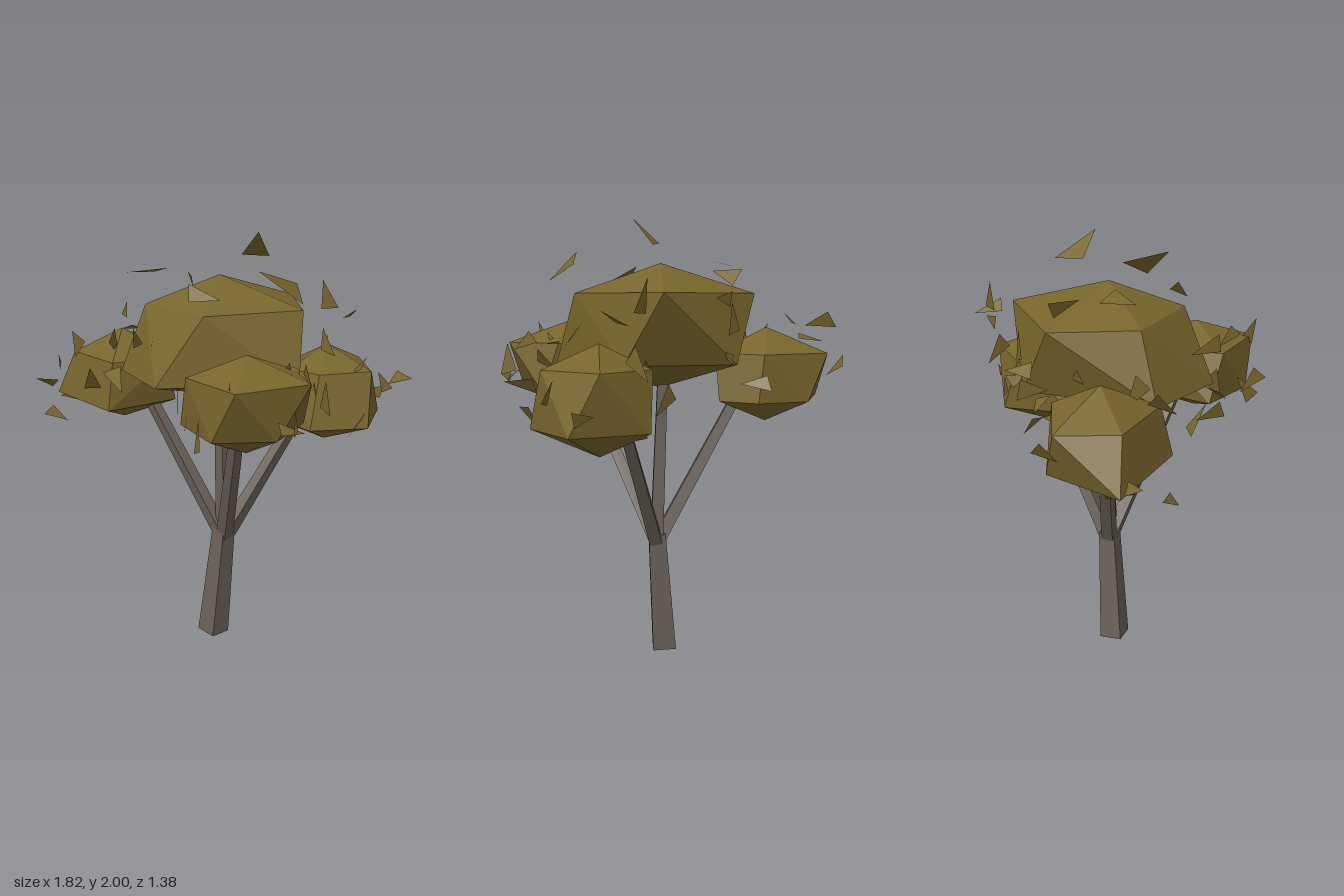
import * as THREE from 'three';
import { ConvexGeometry } from 'three/addons/geometries/ConvexGeometry.js';

const bark = new THREE.MeshStandardMaterial({ color: 0x6a6058 });
bark.name = 'bark';
const foliage = new THREE.MeshStandardMaterial({ color: 0x78652c, side: THREE.DoubleSide });
foliage.name = 'foliage';

const at = (x, y, z) => new THREE.Vector3(x, y, z);

// Four-sided tapering limb between two points
function limb(name, from, to, r0, r1) {
  const dir = to.clone().sub(from);
  const length = dir.length();
  const geo = new THREE.CylinderGeometry(r1, r0, length, 4).translate(0, length / 2, 0).toNonIndexed();
  geo.computeVertexNormals();
  const mesh = new THREE.Mesh(geo, bark);
  mesh.quaternion.setFromUnitVectors(at(0, 1, 0), dir.normalize());
  mesh.position.copy(from);
  mesh.name = name;
  return mesh;
}

// Uneven ring round a centre: angles in degrees with a radius for each
function ring({ x, z }, y, { angles, radii }) {
  return radii.map((r, i) => {
    const angle = THREE.MathUtils.degToRad(angles[i]);
    return at(x + r * Math.cos(angle), y, z + r * Math.sin(angle));
  });
}

// Faceted lump: top, upper ring, lower ring, bottom
function leafClump(name, { centre, heights, upper, lower }) {
  const [top, upperY, lowerY, bottom] = heights;
  const mesh = new THREE.Mesh(new ConvexGeometry([
    at(centre.x, top, centre.z),
    ...ring(centre, upperY, upper),
    ...ring(centre, lowerY, lower),
    at(centre.x, bottom, centre.z),
  ]), foliage);
  mesh.name = name;
  return mesh;
}

// Loose triangular leaves joined in one mesh
function leaves(name, corners) {
  const geo = new THREE.BufferGeometry().setFromPoints(corners);
  geo.computeVertexNormals();
  const mesh = new THREE.Mesh(geo, foliage);
  mesh.name = name;
  return mesh;
}

// One narrow triangle at a spot, turned at random
function leafAt(spot, random) {
  const turn = new THREE.Euler(random() * 6.3, random() * 6.3, random() * 6.3);
  const size = 0.065 + 0.035 * random();
  return [at(-0.45, -0.6, 0), at(0.45, -0.4, 0), at(0, 1, 0)]
    .map((corner) => corner.multiplyScalar(size).applyEuler(turn).add(spot));
}

// Leaves scattered close around a clump
function scatter({ centre, heights, lower }, count, random) {
  const reach = Math.max(...lower.radii);
  const half = (heights[0] - heights[3]) / 2;
  return Array.from({ length: count }, (_, i) => {
    const v = random() * 1.4 - 0.6;
    const out = (0.9 + 0.25 * random()) * reach * Math.sqrt(1 - v * v);
    return leafAt(at(
      centre.x + out * Math.cos(i * 2.4),
      heights[3] + half + v * half * 1.1,
      centre.z + out * Math.sin(i * 2.4),
    ), random);
  }).flat();
}

// Clumps, each with the tip of the branch that carries it
const clumps = {
  middle: {
    tip: at(0.008, 1.3, -0.13), centre: at(0, 0, -0.11), heights: [1.81, 1.675, 1.37, 1.25],
    upper: { angles: [24, 100, 180, 240, 316], radii: [0.41, 0.345, 0.34, 0.425, 0.48] },
    lower: { angles: [41, 125, 177, 266, 340], radii: [0.47, 0.47, 0.455, 0.42, 0.41] },
  },
  right: {
    tip: at(-0.35, 1.2, -0.28), centre: at(-0.48, 0, -0.35), heights: [1.52, 1.4, 1.18, 1.075],
    upper: { angles: [29, 94, 182, 241, 325], radii: [0.26, 0.26, 0.24, 0.29, 0.24] },
    lower: { angles: [15, 97, 190, 268, 330], radii: [0.27, 0.31, 0.345, 0.24, 0.26] },
  },
  left: {
    tip: at(0.39, 1.12, -0.26), centre: at(0.51, 0, -0.235), heights: [1.47, 1.365, 1.115, 1.0],
    upper: { angles: [34, 103, 155, 237, 313], radii: [0.24, 0.22, 0.2, 0.225, 0.26] },
    lower: { angles: [51, 108, 173, 258, 338], radii: [0.29, 0.29, 0.27, 0.25, 0.295] },
  },
  front: {
    tip: at(0.09, 1.22, 0.27), centre: at(0.125, 0, 0.385), heights: [1.545, 1.45, 1.225, 1.12],
    upper: { angles: [24, 99, 177, 246, 321], radii: [0.285, 0.29, 0.255, 0.24, 0.26] },
    lower: { angles: [55, 125, 193, 269, 337], radii: [0.215, 0.25, 0.29, 0.245, 0.27] },
  },
};

// Single leaves drifting farther out
const strays = [
  at(-0.86, 1.24, -0.38), at(-0.8, 1.13, -0.19), at(-0.72, 1.43, 0.03), at(-0.5, 1.55, -0.65),
  at(-0.3, 1.56, -0.61), at(-0.45, 1.4, 0.19), at(-0.27, 1.58, 0.35), at(-0.12, 1.3, 0.57),
  at(0.85, 1.32, -0.17), at(0.64, 1.57, -0.46), at(0.53, 1.64, -0.5), at(0.49, 1.5, -0.06),
  at(0.64, 1.16, 0.05), at(0.45, 1.36, 0.43), at(0.32, 1.3, 0.6), at(0, 1.55, -0.53), at(0.14, 1.65, -0.6),
];

export function createModel() {
  const tree = new THREE.Group();
  tree.name = 'tree';
  let seed = 11;
  const random = () => (seed = (seed * 16807) % 2147483647) / 2147483647;

  tree.add(limb('trunk', at(-0.03, 0.008, -0.11), at(0.022, 0.57, -0.11), 0.076, 0.055));
  const fork = at(0.025, 0.52, -0.11);

  for (const [side, clump] of Object.entries(clumps)) {
    tree.add(limb(side + 'Branch', fork, clump.tip, 0.042, 0.032));
    tree.add(leafClump(side + 'LeafClump', clump));
    tree.add(leaves(side + 'LooseLeaves', scatter(clump, 8, random)));
  }
  tree.add(leaves('strayLeaves', strays.flatMap((spot) => leafAt(spot, random))));

  // Large leaves hovering over the crown
  tree.add(leaves('topLeaves', [
    at(0.1, 1.89, -0.19), at(0.175, 2, -0.1), at(0.23, 1.875, -0.275),
    at(-0.43, 1.81, -0.17), at(-0.31, 1.8, -0.28), at(-0.235, 1.83, -0.18),
    at(0.17, 1.87, 0.26), at(0.34, 1.8, 0.1), at(0.36, 1.73, 0.24),
  ]));
  return tree;
}
